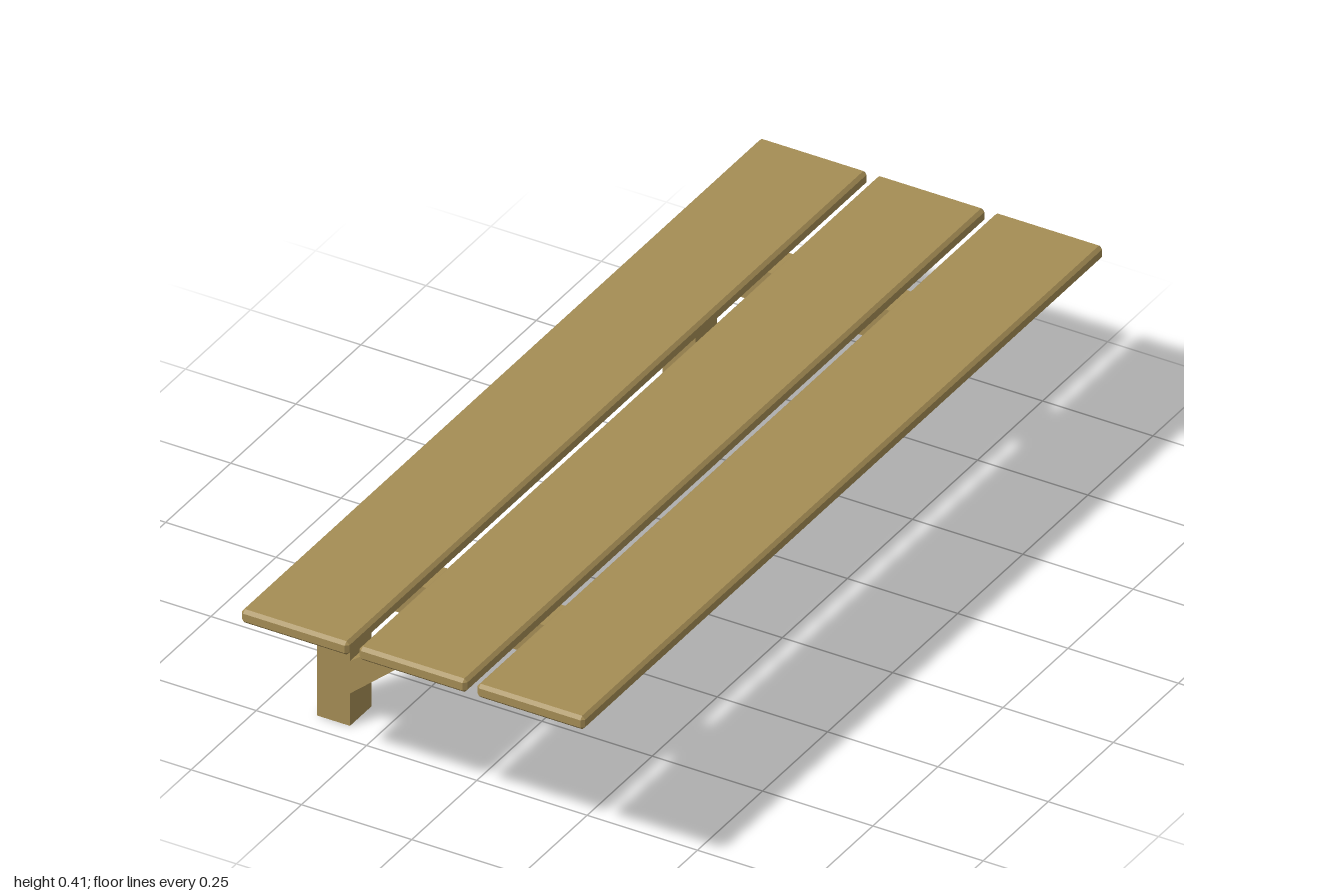
import * as THREE from 'three';
import { ConvexGeometry } from 'three/addons/geometries/ConvexGeometry.js';

const wood = new THREE.MeshStandardMaterial({ color: 0xa58d55, flatShading: true });

// Box with every edge chamfered by c, centred on the origin
function chamferedBox(w, h, d, c) {
  const points = [];
  for (const sx of [-1, 1]) for (const sy of [-1, 1]) for (const sz of [-1, 1]) {
    const corner = new THREE.Vector3(sx * w / 2, sy * h / 2, sz * d / 2);
    const inset = new THREE.Vector3(sx * c, sy * c, sz * c);
    for (const axis of ['x', 'y', 'z']) {
      const p = corner.clone().sub(inset);
      p[axis] = corner[axis];
      points.push(p);
    }
  }
  return new ConvexGeometry(points);
}

// Timber cut from a side outline, centred on z = 0
function timber(name, outline, depth) {
  const shape = new THREE.Shape(outline.map(([x, y]) => new THREE.Vector2(x, y)));
  const geometry = new THREE.ExtrudeGeometry(shape, { depth, bevelEnabled: false });
  geometry.translate(0, 0, -depth / 2);
  const mesh = new THREE.Mesh(geometry, wood);
  mesh.name = name;
  return mesh;
}

export function createModel() {
  const bench = new THREE.Group();
  bench.name = 'bench';

  // Three long seat planks with narrow gaps
  const plankGeometry = chamferedBox(0.244, 0.031, 2, 0.007);
  ['rightPlank', 'middlePlank', 'leftPlank'].forEach((name, i) => {
    const plank = new THREE.Mesh(plankGeometry, wood);
    plank.name = name;
    plank.position.set((i - 1) * 0.267, 0.3905, 0);
    bench.add(plank);
  });

  // Cantilever brackets: post, beam and diagonal brace
  const depth = 0.082;
  for (const [name, z] of [['frontBracket', 0.664], ['backBracket', -0.664]]) {
    const bracket = new THREE.Group();
    bracket.name = name;
    bracket.add(
      timber('post', [[-0.389, 0], [-0.314, 0], [-0.314, 0.375], [-0.389, 0.375]], depth),
      timber('beam', [[-0.314, 0.298], [0.284, 0.298], [0.284, 0.375], [-0.314, 0.375]], depth),
      timber('brace', [[-0.314, 0.075], [-0.053, 0.298], [-0.12, 0.298], [-0.314, 0.15]], depth),
    );
    bracket.position.z = z;
    bench.add(bracket);
  }
  return bench;
}
